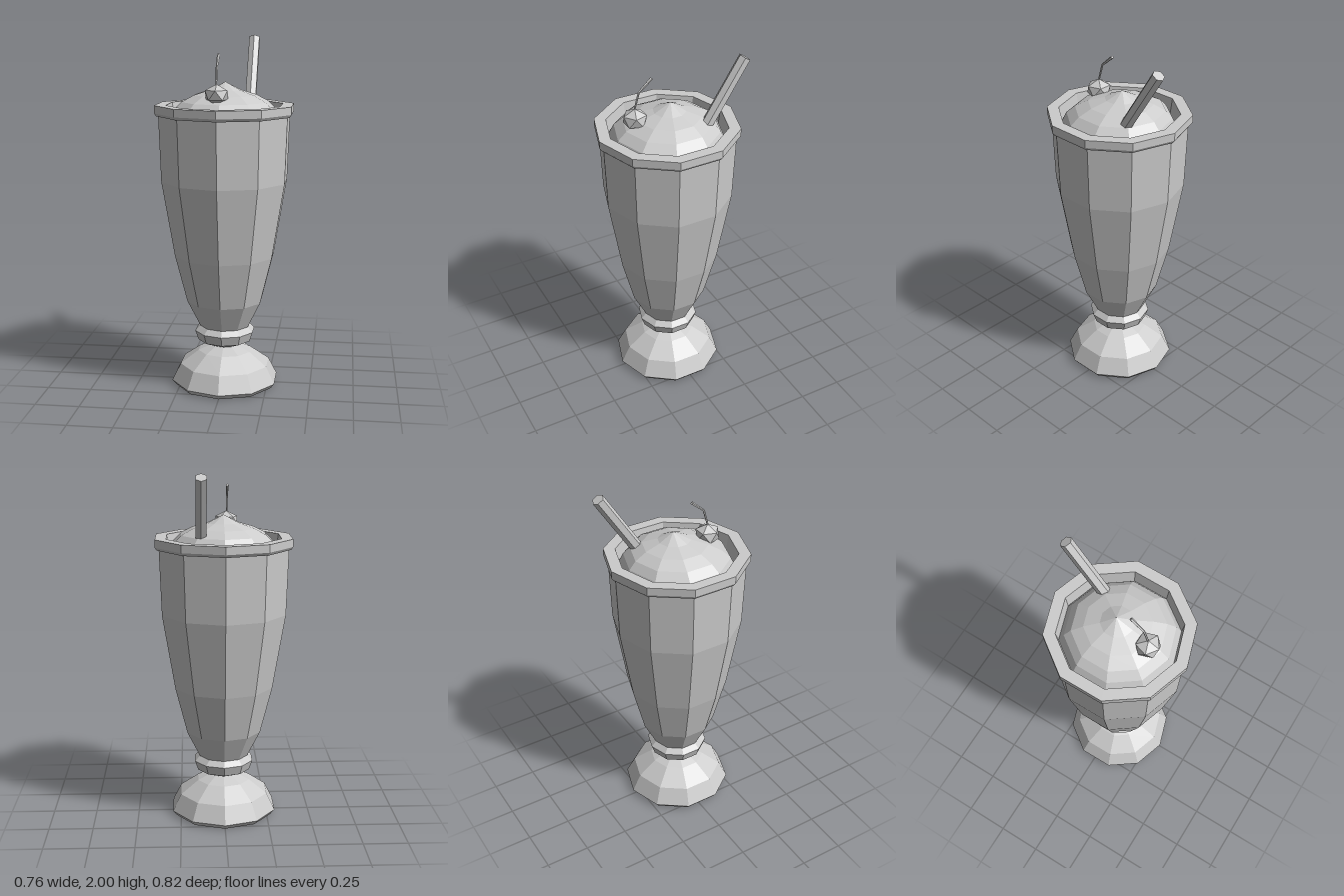
import * as THREE from 'three';

const SIDES = 10;
const material = new THREE.MeshStandardMaterial({ color: 0xcccccc, flatShading: true });

function add(parent, name, geometry) {
  const mesh = new THREE.Mesh(geometry, material);
  mesh.name = name;
  parent.add(mesh);
  return mesh;
}

// Ten-sided turned part from [radius, height] pairs
function turned(profile) {
  return new THREE.LatheGeometry(profile.map(([r, y]) => new THREE.Vector2(r, y)), SIDES);
}

// Tapered rod between two points
function rod(parent, name, from, to, r0, r1, sides) {
  const a = new THREE.Vector3(...from), b = new THREE.Vector3(...to);
  const dir = b.clone().sub(a);
  const mesh = add(parent, name, new THREE.CylinderGeometry(r1, r0, dir.length(), sides));
  mesh.position.copy(a).add(b).multiplyScalar(0.5);
  mesh.quaternion.setFromUnitVectors(new THREE.Vector3(0, 1, 0), dir.normalize());
  return mesh;
}

export function createModel() {
  const model = new THREE.Group();
  model.name = 'milkshake';

  const glass = new THREE.Group();
  glass.name = 'glass';
  glass.position.z = 0.012;
  model.add(glass);

  // Foot, hollow underneath
  add(glass, 'foot', turned([
    [0, 0.2], [0.13, 0.175], [0.23, 0.11], [0.284, 0.005],
    [0.29, 0], [0.312, 0.027], [0.262, 0.125], [0.156, 0.2], [0.078, 0.232],
  ]));

  // Collar between foot and bowl
  add(glass, 'collar', turned([
    [0.078, 0.232], [0.156, 0.265], [0.175, 0.32], [0.145, 0.35],
  ]));

  // Tall flared bowl
  add(glass, 'bowl', turned([
    [0.145, 0.35], [0.22, 0.5], [0.289, 0.77], [0.362, 1.2], [0.375, 1.575],
  ]));

  // Rim with the inner wall down to the cream
  add(glass, 'rim', turned([
    [0.373, 1.567], [0.386, 1.567], [0.397, 1.583], [0.397, 1.626],
    [0.332, 1.626], [0.318, 1.53],
  ]));

  // Cream dome, its peak leaning slightly back
  const cream = turned([
    [0.32, 1.54], [0.29, 1.6], [0.247, 1.642], [0.178, 1.678], [0.09, 1.705], [0, 1.75],
  ]);
  const p = cream.attributes.position;
  for (let i = 0; i < p.count; i++) {
    p.setZ(i, p.getZ(i) - 0.022 * Math.max(0, (p.getY(i) - 1.6) / 0.15));
  }
  cream.computeVertexNormals();
  add(glass, 'cream', cream);

  // Cherry, slightly squashed, with a bent stem
  const cherry = new THREE.Group();
  cherry.name = 'cherry';
  model.add(cherry);
  const fruit = new THREE.IcosahedronGeometry(0.072, 0);
  fruit.rotateX(-Math.atan((1 + Math.sqrt(5)) / 2));
  fruit.scale(1, 0.8, 1);
  add(cherry, 'cherryFruit', fruit).position.set(-0.023, 1.692, 0.19);
  rod(cherry, 'stemLower', [-0.025, 1.73, 0.195], [-0.025, 1.84, 0.163], 0.005, 0.006, 5);
  rod(cherry, 'stemUpper', [-0.025, 1.838, 0.164], [-0.025, 1.903, 0.088], 0.006, 0.009, 5);

  // Six-sided straw leaning back
  rod(model, 'straw', [0.127, 1.58, -0.12], [0.127, 1.981, -0.378], 0.034, 0.034, 6);

  return model;
}
